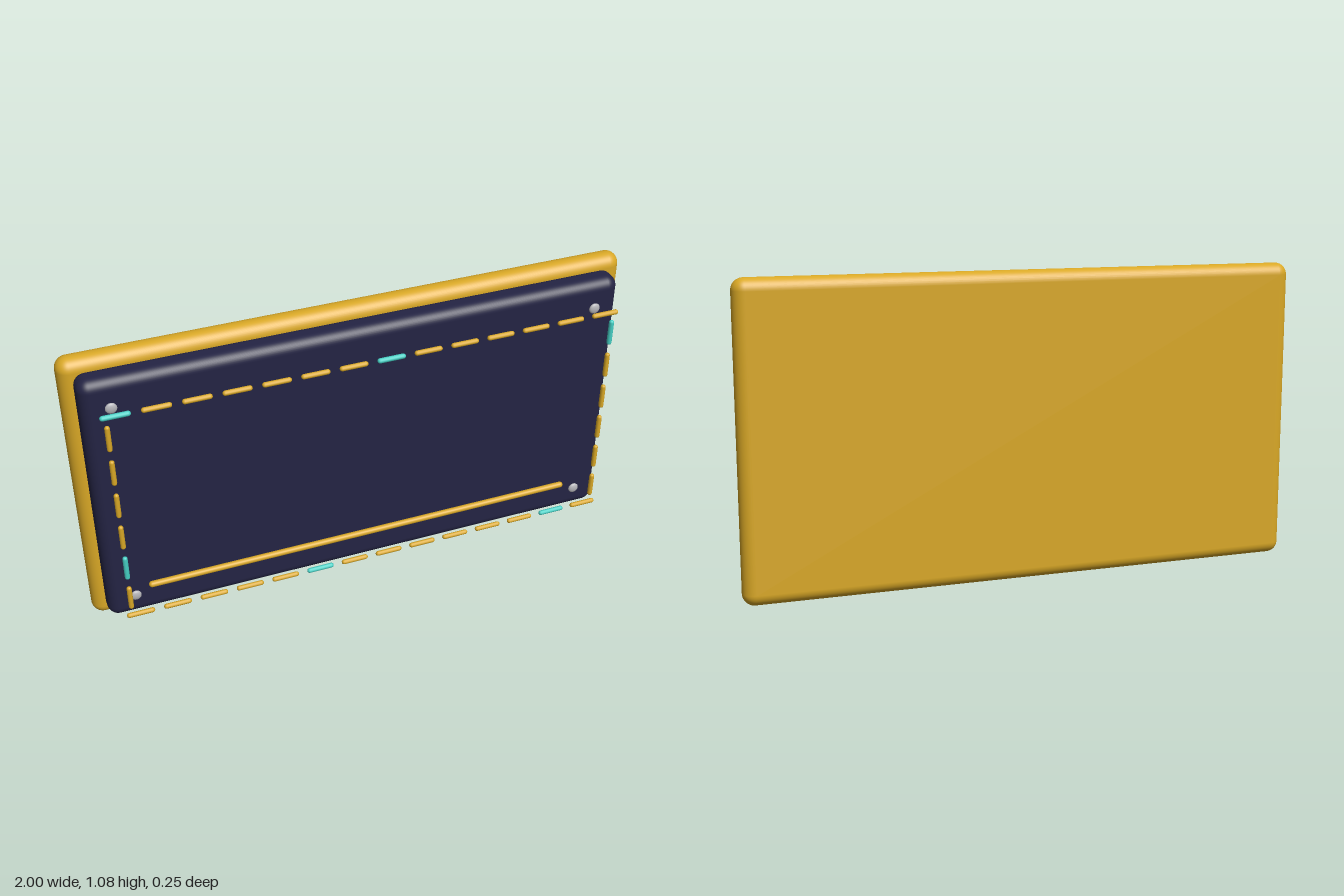
import * as THREE from 'three';
import { RoundedBoxGeometry } from 'three/addons/geometries/RoundedBoxGeometry.js';

const paint = (name, color) => {
  const m = new THREE.MeshStandardMaterial({ color });
  m.name = name;
  return m;
};

export function createModel() {
  const gold = paint('gold', 0xd9a826);
  const navy = paint('navy', 0x242444);
  const teal = paint('teal', 0x45cfc4);
  const silver = paint('silver', 0xb4b4b8);
  const model = new THREE.Group();
  model.name = 'framedPanel';

  const add = (name, geometry, material, x, y, z, parent = model) => {
    const mesh = new THREE.Mesh(geometry, material);
    mesh.name = name;
    mesh.position.set(x, y, z);
    parent.add(mesh);
    return mesh;
  };

  // Backing plate and the raised panel in front of it
  add('backPlate', new RoundedBoxGeometry(2, 1.084, 0.086, 6, 0.042), gold, 0, 0.544, -0.082);
  add('frontPanel', new RoundedBoxGeometry(1.91, 1, 0.1, 6, 0.04), navy, 0, 0.545, -0.013);

  // Dashed border floating in front of the panel
  const border = new THREE.Group();
  border.name = 'dashedBorder';
  model.add(border);
  const dash = new THREE.CapsuleGeometry(0.009, 0.082, 4, 12);
  const pitchX = 0.132, pitchY = 0.1362;
  const rows = [
    { name: 'topDash', y: 0.967, accents: [0, 7] },
    { name: 'bottomDash', y: 0.123, accents: [5, 12] },
  ];
  for (const { name, y, accents } of rows) {
    for (let i = 0; i < 14; i++) {
      const material = accents.includes(i) ? teal : gold;
      add(name, dash, material, (i - 6.5) * pitchX, y, 0.12, border).rotation.z = Math.PI / 2;
    }
  }
  const columns = [
    { name: 'rightDash', x: -0.888, accent: 1 },
    { name: 'leftDash', x: 0.888, accent: 5 },
  ];
  for (const { name, x, accent } of columns) {
    for (let i = 0; i < 6; i++) {
      add(name, dash, i === accent ? teal : gold, x, 0.545 + (i - 2.5) * pitchY, 0.12, border);
    }
  }

  // Long trim bar near the bottom
  const bar = add('trimBar', new THREE.CapsuleGeometry(0.0115, 1.592, 6, 16), gold, 0, 0.174, 0.047);
  bar.rotation.z = Math.PI / 2;

  // Flattened corner studs
  const stud = new THREE.SphereGeometry(0.02, 20, 14);
  stud.scale(1, 1, 0.45);
  for (const x of [-0.857, 0.857]) {
    for (const y of [0.142, 0.948]) add('cornerStud', stud, silver, x, y, 0.048);
  }

  return model;
}
